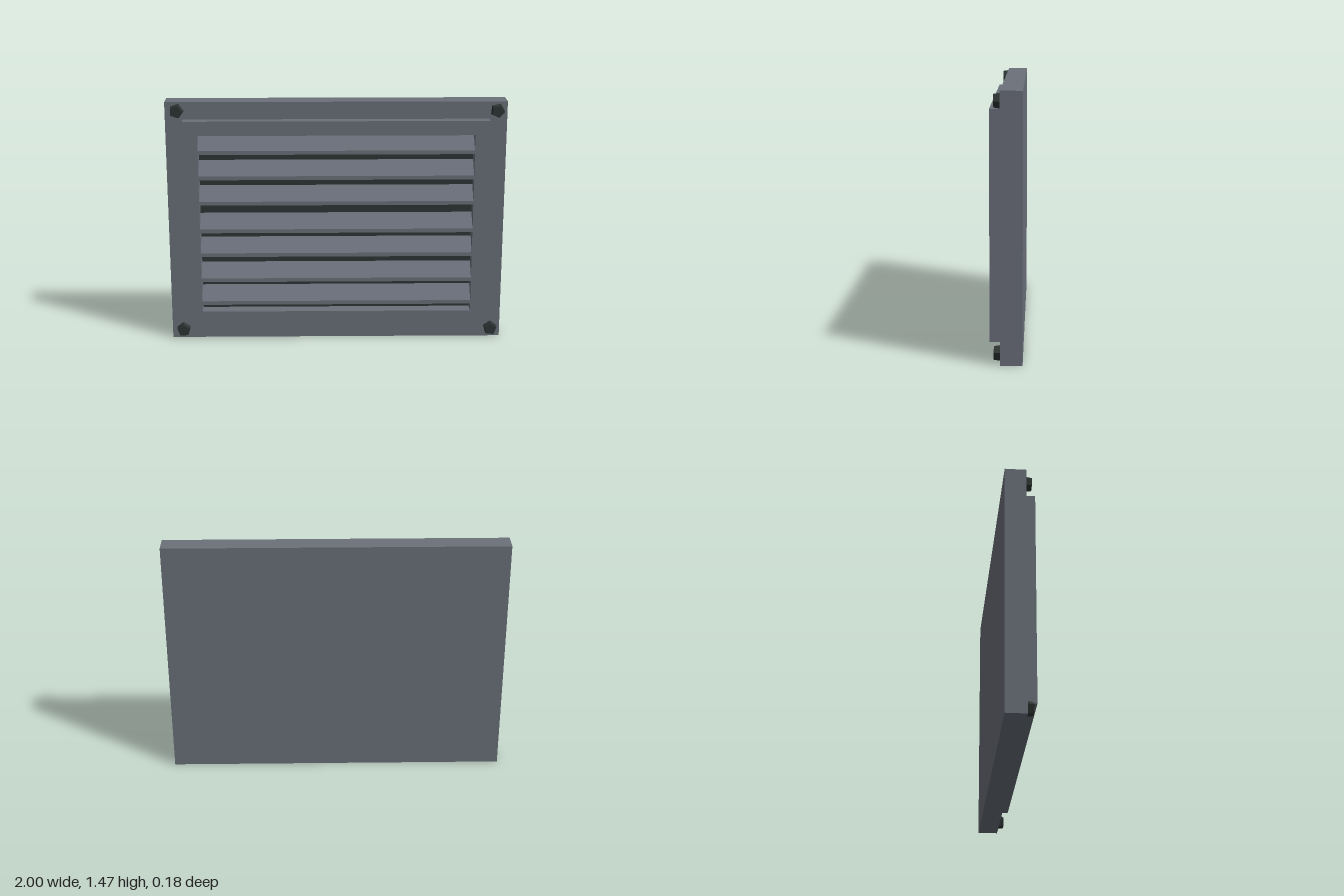
import * as THREE from 'three';

const steel = new THREE.MeshStandardMaterial({ color: 0x6b707a });
steel.name = 'greySteel';
const dark = new THREE.MeshStandardMaterial({ color: 0x2e3634 });
dark.name = 'darkIron';

const MID = 0.733; // height of the vent centre

// Rectangular ring with an open middle, from z0 to z1
function ring(width, height, holeW, holeH, z0, z1) {
  const corners = (w, h) => [[-w, -h], [w, -h], [w, h], [-w, h]].map(([x, y]) => new THREE.Vector2(x / 2, y / 2));
  const shape = new THREE.Shape(corners(width, height));
  shape.holes.push(new THREE.Path(corners(holeW, holeH).reverse()));
  return new THREE.ExtrudeGeometry(shape, { depth: z1 - z0, bevelEnabled: false }).translate(0, MID, z0);
}

export function createModel() {
  const vent = new THREE.Group();
  vent.name = 'wallVent';

  function add(name, geometry, material, x = 0, y = 0, z = 0) {
    const mesh = new THREE.Mesh(geometry, material);
    mesh.name = name;
    mesh.position.set(x, y, z);
    vent.add(mesh);
    return mesh;
  }

  // Plate, raised frame and dark recess
  add('backPlate', new THREE.BoxGeometry(2, 1.466, 0.09), steel, 0, MID, -0.045);
  add('outerFrame', ring(2, 1.466, 1.62, 1.09, 0, 0.03), steel);
  add('raisedFrame', ring(1.79, 1.26, 1.62, 1.09, 0.03, 0.09), steel);
  add('recessPanel', new THREE.BoxGeometry(1.62, 1.09, 0.009), dark, 0, MID, 0.0045);

  // Sloping slats with upright front edges; y is the top of the front edge
  const profile = new THREE.Shape([
    [-0.088, -0.023], [-0.005, 0.06], [-0.005, 0.085], [-0.088, 0],
  ].map(([x, y]) => new THREE.Vector2(x, y)).reverse());
  const slat = new THREE.ExtrudeGeometry(profile, { depth: 1.62, bevelEnabled: false })
    .translate(0, 0, -0.81).rotateY(Math.PI / 2);
  [1.187, 1.034, 0.879, 0.708, 0.559, 0.4, 0.254].forEach((y, i) => add(`slat${i + 1}`, slat, steel, 0, y));

  // Five-sided bolts, each turned a little differently
  const bolt = new THREE.CylinderGeometry(0.038, 0.044, 0.036, 5).toNonIndexed();
  bolt.rotateX(Math.PI / 2).rotateZ(Math.PI / 2);
  bolt.computeVertexNormals();
  [[-0.932, 1.415, 0], [0.942, 1.412, -0.1], [-0.932, 0.055, 0.35], [0.942, 0.055, 0.28]].forEach(([x, y, turn], i) => {
    add(`bolt${i + 1}`, bolt, dark, x, y, 0.047).rotation.z = turn;
  });

  return vent;
}
